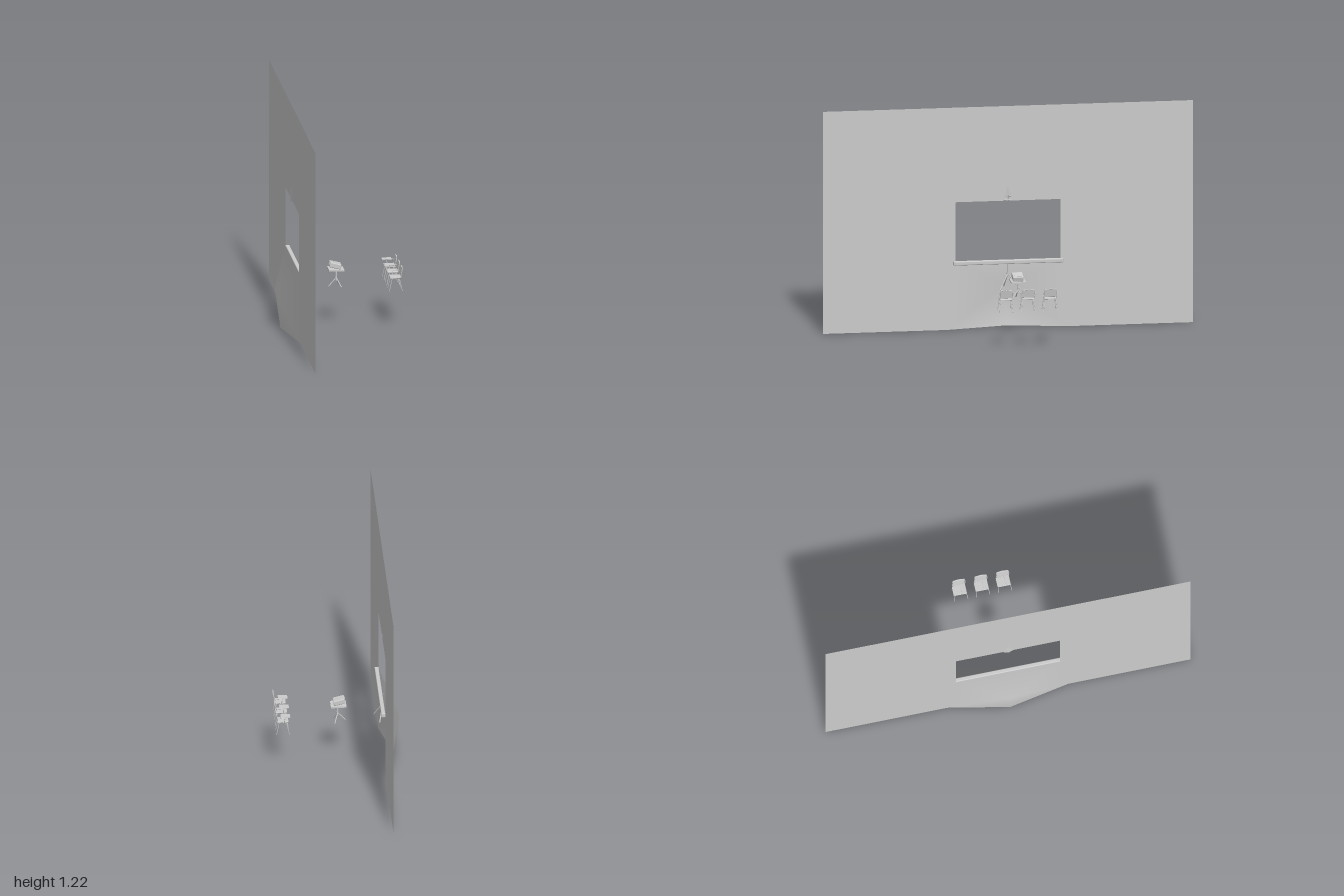
import * as THREE from 'three';
import { RoundedBoxGeometry } from 'three/addons/geometries/RoundedBoxGeometry.js';

const grey = new THREE.MeshStandardMaterial({ color: 0xcccccc });
const thin = new THREE.MeshStandardMaterial({ color: 0xcccccc, side: THREE.DoubleSide });
const WALL_X = -0.245;
const V = (x, y, z) => new THREE.Vector3(x, y, z);

function add(parent, name, geometry, material = grey) {
  const mesh = new THREE.Mesh(geometry, material);
  mesh.name = name;
  parent.add(mesh);
  return mesh;
}

function box(parent, name, w, h, d, x, y, z, tilt = 0) {
  const mesh = add(parent, name, new THREE.BoxGeometry(w, h, d));
  mesh.position.set(x, y, z);
  mesh.rotation.z = tilt;
}

// Straight round bar between two points
function rod(parent, name, a, b, r) {
  const mesh = add(parent, name, new THREE.CylinderGeometry(r, r, a.distanceTo(b), 8));
  mesh.position.copy(a).add(b).multiplyScalar(0.5);
  mesh.quaternion.setFromUnitVectors(V(0, 1, 0), b.clone().sub(a).normalize());
}

function tube(parent, name, points, r) {
  const path = new THREE.CatmullRomCurve3(points, false, 'catmullrom', 0.2);
  add(parent, name, new THREE.TubeGeometry(path, 28, r, 6), thin);
}

// Smooth hollow that blends into the flat wall at its rim
function hollow(parent, name, points, index) {
  const g = new THREE.BufferGeometry();
  g.setAttribute('position', new THREE.Float32BufferAttribute(points.flat(), 3));
  g.setIndex(index);
  g.computeVertexNormals();
  points.forEach(([x], i) => {
    if (x === WALL_X) g.attributes.normal.setXYZ(i, 1, 0, 0);
  });
  add(parent, name, g, thin);
}

// Pole with three spread legs
function tripod(name, x, z, top, hub, foot, radius, angle, r) {
  const g = new THREE.Group();
  g.name = name;
  rod(g, 'pole', V(x, hub - 0.015, z), V(x, top, z), r * 1.3);
  const collar = add(g, 'collar', new THREE.CylinderGeometry(r * 2, r * 2, 0.01, 10));
  collar.position.set(x, hub, z);
  for (let i = 0; i < 3; i++) {
    const a = angle + i * Math.PI * 2 / 3;
    rod(g, 'leg', V(x, hub, z), V(x + radius * Math.cos(a), foot, z + radius * Math.sin(a)), r);
  }
  return g;
}

// Thin wall with an open window and two shallow hollows
function makeWall() {
  const g = new THREE.Group();
  g.name = 'wall';
  const X = WALL_X;
  const half = [[0.33, 0], [0.3, 0.37], [0.285, 0.372], [0.285, 0.7], [0.03, 0.7]];
  const outline = [[1, 0], [1, 1.22], [-1, 1.22], [-1, 0],
    ...half.map(([z, y]) => [-z, y]), [0, 0.8], ...half.slice().reverse()];
  const shape = new THREE.Shape(outline.map(([z, y]) => new THREE.Vector2(z, y)));
  const flat = add(g, 'wallSurface', new THREE.ShapeGeometry(shape), thin);
  flat.rotation.y = Math.PI / 2;
  flat.position.x = X;
  hollow(g, 'lowerHollow', [
    [X, 0.37, 0.3], [X, 0, 0.33], [-0.34, 0.22, 0], [-0.31, 0, 0],
    [X, 0.37, -0.3], [X, 0, -0.33], [X, 0.37, 0]],
  [0, 1, 2, 1, 3, 2, 3, 5, 2, 5, 4, 2, 4, 6, 2, 6, 0, 2]);
  hollow(g, 'upperHollow', [
    [X, 0.8, 0], [X, 0.7, 0.03], [-0.255, 0.755, 0], [-0.255, 0.7, 0], [X, 0.7, -0.03]],
  [0, 1, 2, 1, 3, 2, 3, 4, 2, 4, 0, 2]);
  return g;
}

function makeScreenStand() {
  const g = new THREE.Group();
  g.name = 'screenStand';
  // Roller case with end caps
  const roller = add(g, 'rollerCase', new RoundedBoxGeometry(0.022, 0.022, 0.58, 2, 0.005));
  roller.position.set(-0.234, 0.367, 0);
  for (const s of [-1, 1]) {
    const cap = add(g, 'endCap', new RoundedBoxGeometry(0.024, 0.025, 0.012, 2, 0.005));
    cap.position.set(-0.234, 0.367, s * 0.291);
  }
  // Hook above the window
  rod(g, 'hookStem', V(-0.249, 0.7, 0), V(-0.249, 0.73, 0), 0.002);
  for (const y of [0.703, 0.724]) {
    rod(g, 'hookBar', V(-0.249, y, -0.018), V(-0.249, y, 0.018), 0.0015);
  }
  g.add(tripod('screenTripod', -0.249, 0, 0.36, 0.3, 0.216, 0.066, 0.84, 0.0032));
  return g;
}

function makeProjectorTable() {
  const g = new THREE.Group();
  g.name = 'projectorTable';
  box(g, 'tableTop', 0.084, 0.008, 0.08, -0.009, 0.311, -0.019, -0.03);
  box(g, 'tableBracket', 0.03, 0.007, 0.03, -0.008, 0.304, -0.019);
  g.add(tripod('tableTripod', -0.006, -0.019, 0.306, 0.262, 0.216, 0.042, 0.95, 0.0028));

  const projector = new THREE.Group();
  projector.name = 'projector';
  projector.position.set(-0.013, 0.333, -0.019);
  projector.rotation.z = -0.25;
  add(projector, 'projectorBody', new RoundedBoxGeometry(0.063, 0.028, 0.058, 3, 0.005));
  const lens = add(projector, 'lens', new THREE.CylinderGeometry(0.008, 0.008, 0.003, 16));
  lens.rotation.z = Math.PI / 2;
  lens.position.set(-0.032, 0.001, 0.012);
  box(projector, 'controlPanel', 0.034, 0.002, 0.036, 0.004, 0.014, 0);
  box(projector, 'frontFoot', 0.004, 0.01, 0.02, -0.025, -0.014, 0);
  g.add(projector);
  return g;
}

// Tablet-arm chair facing the window
function makeChair(z) {
  const g = new THREE.Group();
  g.name = 'chair';
  g.position.z = z;
  const seat = add(g, 'seat', new RoundedBoxGeometry(0.062, 0.006, 0.066, 2, 0.003));
  seat.position.set(0.298, 0.288, 0);
  seat.rotation.z = -0.05;

  // Backrest panel and its frame
  const back = add(g, 'backrest', new RoundedBoxGeometry(0.005, 0.046, 0.064, 6, 0.0024));
  back.position.set(0.33, 0.319, 0);
  back.rotation.z = -0.17;
  const rim = [[0.325, 0.287, 0.032], [0.328, 0.312, 0.035], [0.334, 0.336, 0.031]];
  tube(g, 'backFrame', [
    ...rim.map((p) => V(...p)), V(0.336, 0.342, 0),
    ...rim.reverse().map(([x, y, w]) => V(x, y, -w))], 0.0018);

  for (const s of [-1, 1]) {
    rod(g, 'frontLeg', V(0.279, 0.286, s * 0.03), V(0.263, 0.216, s * 0.037), 0.0017);
    rod(g, 'backLeg', V(0.317, 0.286, s * 0.03), V(0.332, 0.216, s * 0.037), 0.0017);
    rod(g, 'seatRail', V(0.27, 0.285, s * 0.03), V(0.326, 0.285, s * 0.03), 0.0017);
  }
  for (const x of [0.279, 0.317]) {
    rod(g, 'crossBar', V(x, 0.285, -0.03), V(x, 0.285, 0.03), 0.0017);
  }
  // Writing tablet on one arm
  tube(g, 'armSupport', [V(0.29, 0.285, -0.03), V(0.288, 0.3, -0.039),
    V(0.287, 0.315, -0.039), V(0.314, 0.314, -0.039), V(0.328, 0.309, -0.034)], 0.0018);
  const tablet = add(g, 'writingTablet', new RoundedBoxGeometry(0.052, 0.003, 0.045, 2, 0.0014));
  tablet.position.set(0.284, 0.3195, -0.02);
  return g;
}

export function createModel() {
  const model = new THREE.Group();
  model.name = 'presentationRoom';
  model.add(makeWall(), makeScreenStand(), makeProjectorTable());
  for (const z of [0.092, -0.028, -0.148]) model.add(makeChair(z));
  return model;
}
